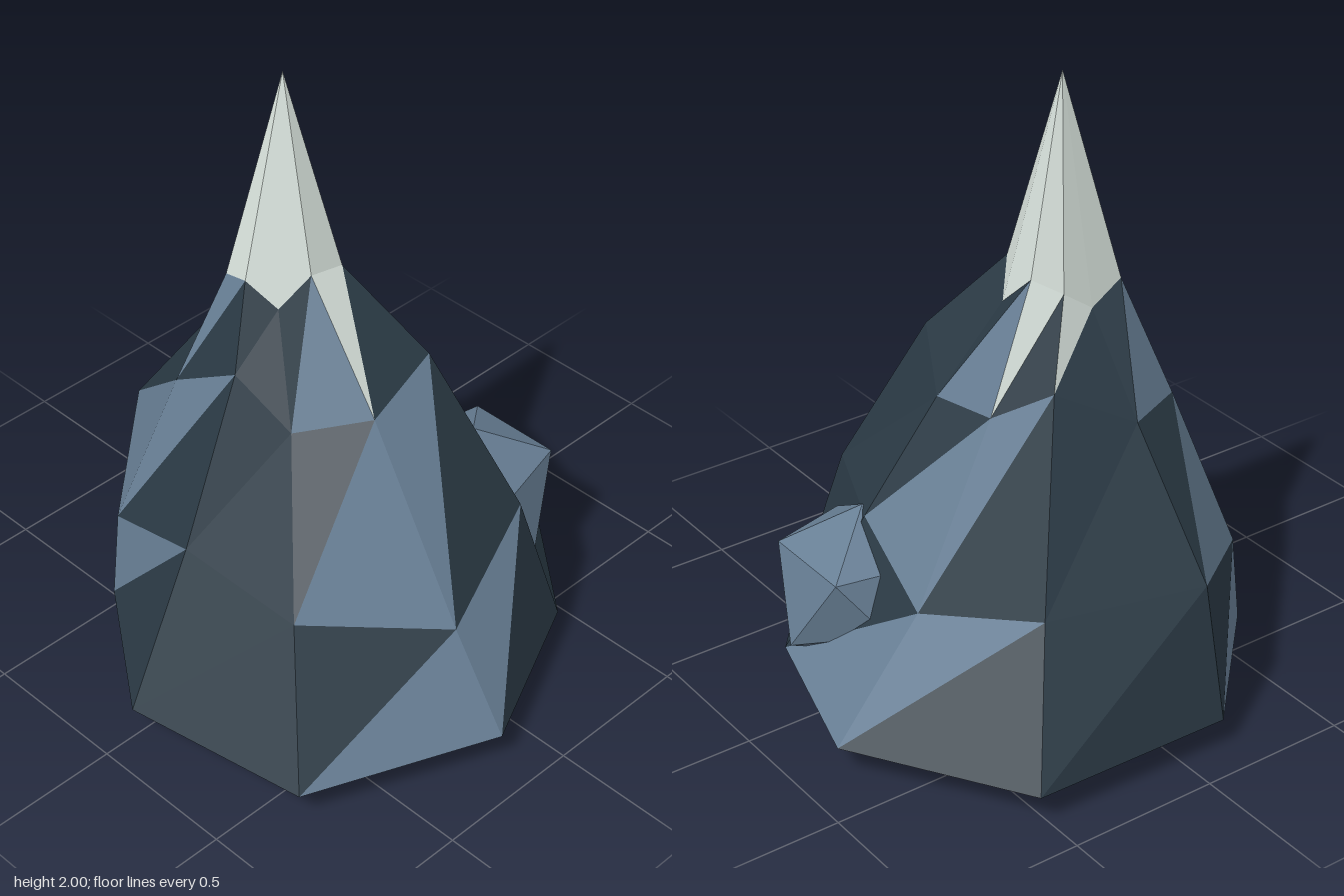
import * as THREE from 'three';
import { ConvexGeometry } from 'three/addons/geometries/ConvexGeometry.js';

const flat = (name, color) => {
  const m = new THREE.MeshStandardMaterial({ color, flatShading: true });
  m.name = name;
  return m;
};

// Nine-sided cross-sections, clockwise from the back as seen from above: [x, y, z]
const foot = [[-0.15, -0.88], [0.53, -0.865], [0.875, -0.31], [0.715, 0.24], [0.395, 0.62],
  [-0.15, 0.875], [-0.77, 0.62], [-0.88, -0.01], [-0.56, -0.465]].map(([x, z]) => [x, 0.1, z]);
const lower = [[-0.15, 0.53, -0.78], [0.35, 0.52, -0.64], [0.53, 0.41, -0.24], [0.48, 0.56, 0.12],
  [0.31, 0.54, 0.51], [-0.15, 0.41, 0.67], [-0.555, 0.5, 0.38], [-0.59, 0.55, -0.06], [-0.525, 0.4, -0.465]];
const upper = [[-0.12, 0.96, -0.47], [0.11, 1.08, -0.36], [0.22, 0.96, -0.19], [0.27, 0.96, 0.02],
  [0.15, 1.08, 0.25], [-0.12, 0.99, 0.285], [-0.3, 0.94, 0.11], [-0.345, 1.08, -0.085], [-0.36, 0.93, -0.34]];
const neck = [[-0.11, 1.26, -0.255], [-0.01, 1.33, -0.245], [0.06, 1.37, -0.175], [0.08, 1.26, -0.06],
  [0.005, 1.365, 0.02], [-0.115, 1.38, 0.01], [-0.19, 1.26, -0.055], [-0.235, 1.34, -0.15], [-0.23, 1.32, -0.24]];
const peak = [-0.07, 2, -0.15];

export function createModel() {
  const group = new THREE.Group();
  group.name = 'mountain';
  const darkStone = flat('dark stone', 0x2a3944);
  const paleStone = flat('pale stone', 0x677e94);
  const baseStone = flat('base stone', 0x4c6175);
  const snow = flat('snow', 0xd5dfd9);

  const faces = { dark: [], pale: [], snow: [], base: [] };
  const add = (kind, ...corners) => faces[kind].push(...corners.flat());

  // Slopes: three bands of triangles, with pale facets winding round every third side
  const rings = [foot, lower, upper, neck];
  const n = foot.length;
  for (let b = 0; b < 3; b++) {
    const lo = rings[b], hi = rings[b + 1];
    for (let j = 0; j < n; j++) {
      const k = (j + 1) % n;
      const snowy = b === 2 && [0, 1, 4].includes(j);
      add(j % 3 === 2 ? 'pale' : 'dark', lo[j], hi[j], lo[k]);
      add(snowy ? 'snow' : j % 3 === 1 ? 'pale' : 'dark', hi[j], hi[k], lo[k]);
    }
  }

  // Snowy peak and flat underside
  for (let j = 0; j < n; j++) {
    const k = (j + 1) % n;
    add('snow', neck[j], peak, neck[k]);
    add('base', [0, 0.1, 0], foot[j], foot[k]);
  }

  const addMesh = (name, geometry, material) => {
    const mesh = new THREE.Mesh(geometry, material);
    mesh.name = name;
    group.add(mesh);
  };
  const toGeometry = (list) => {
    const g = new THREE.BufferGeometry();
    g.setAttribute('position', new THREE.Float32BufferAttribute(list, 3));
    g.computeVertexNormals();
    return g;
  };
  addMesh('darkSlopes', toGeometry(faces.dark), darkStone);
  addMesh('paleSlopes', toGeometry(faces.pale), paleStone);
  addMesh('snowCap', toGeometry(faces.snow), snow);
  addMesh('underside', toGeometry(faces.base), baseStone);

  // Twelve-cornered boulder half buried in the slope, its tip below the foot
  const corners = [
    [0.455, 0.57, 0.17],
    [0.675, 0.44, -0.01], [0.675, 0.44, 0.32], [0.41, 0.44, 0.39], [0.2, 0.43, 0.155], [0.41, 0.44, -0.06],
    [0.745, 0.165, 0.155], [0.5, 0.18, 0.42], [0.12, 0.17, 0.3], [0.12, 0.17, -0.02], [0.54, 0.25, -0.09],
    [0.385, 0, 0.155],
  ];
  addMesh('boulder', new ConvexGeometry(corners.map((c) => new THREE.Vector3(...c))), paleStone);

  return group;
}
